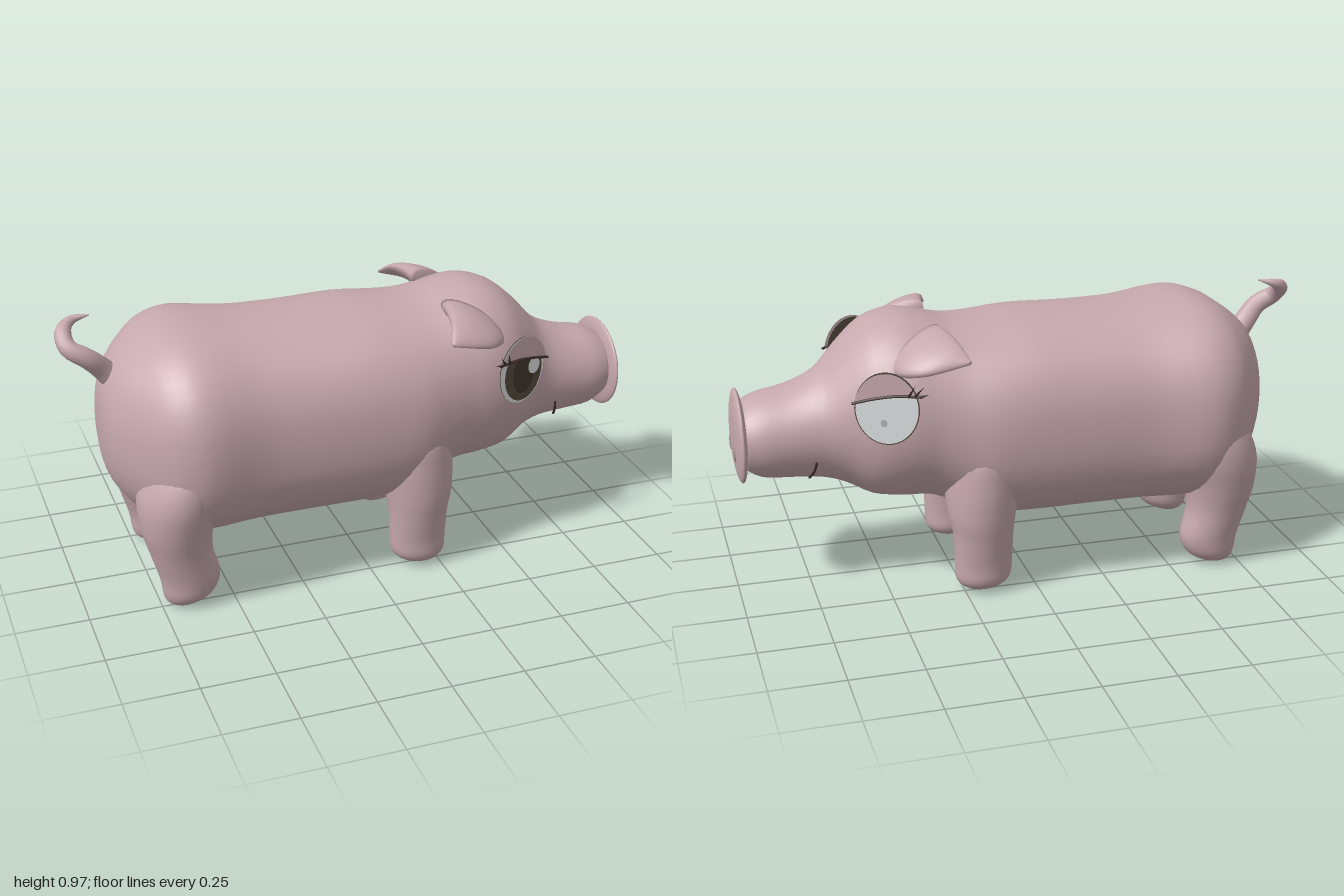
import * as THREE from 'three';

const mat = (name, color, side = THREE.FrontSide) => {
  const m = new THREE.MeshStandardMaterial({ color, side });
  m.name = name;
  return m;
};
const V = (x, y, z) => new THREE.Vector3(x, y, z);

// Closed ring c + u cos + v sin; n > 2 squares it off
function ring(c, u, v, n = 2, count = 28) {
  const bend = (k) => Math.sign(k) * Math.pow(Math.abs(k), 2 / n);
  return Array.from({ length: count }, (_, j) => {
    const a = (j / count) * Math.PI * 2;
    return c.clone().addScaledVector(u, bend(Math.cos(a))).addScaledVector(v, bend(Math.sin(a)));
  });
}

// Smooth skin over rings, closed with a pole at each end
function loft(rings) {
  const n = rings[0].length, last = (rings.length - 1) * n;
  const pts = rings.flat(), idx = [];
  const centre = (r) => r.reduce((s, p) => s.add(p), V(0, 0, 0)).divideScalar(n);
  const start = pts.length, end = start + 1;
  pts.push(centre(rings[0]), centre(rings[rings.length - 1]));
  for (let j = 0; j < n; j++) {
    const k = (j + 1) % n;
    for (let i = 0; i < last; i += n) {
      idx.push(i + j, i + k, i + n + j, i + k, i + n + k, i + n + j);
    }
    idx.push(start, k, j, end, last + j, last + k);
  }
  const g = new THREE.BufferGeometry().setFromPoints(pts);
  g.setIndex(idx);
  g.computeVertexNormals();
  return g;
}

// Smoothly resample rows of numbers
function resample(rows, steps) {
  const a = new THREE.CatmullRomCurve3(rows.map((r) => V(r[0], r[1], r[2])), false, 'catmullrom');
  const b = new THREE.CatmullRomCurve3(rows.map((r) => V(r[3], r[4], 0)), false, 'catmullrom');
  return Array.from({ length: steps + 1 }, (_, i) => {
    const p = a.getPoint(i / steps), q = b.getPoint(i / steps);
    return [p.x, p.y, p.z, q.x, q.y];
  });
}

export function createModel() {
  const skin = mat('pink skin', 0xc6a8ad);
  const nostrilPink = mat('nostril pink', 0xa88e92);
  const white = mat('eye white', 0xe2e6e6, THREE.DoubleSide);
  const brown = mat('iris brown', 0x584c41, THREE.DoubleSide);
  const pupilBrown = mat('pupil brown', 0x43372f, THREE.DoubleSide);
  const dark = mat('lash brown', 0x40302d, THREE.DoubleSide);
  const lidPink = mat('eyelid pink', 0xc9abb0, THREE.DoubleSide);
  const grey = mat('dot grey', 0xb4b8b8, THREE.DoubleSide);

  const pig = new THREE.Group();
  pig.name = 'pig';
  const add = (name, geometry, material, parent = pig) => {
    const m = new THREE.Mesh(geometry, material);
    m.name = name;
    parent.add(m);
    return m;
  };

  // Body, head and muzzle: x, top, bottom, half width, squareness
  const profile = [
    [-0.877, 0.66, 0.52, 0.07, 2], [-0.862, 0.75, 0.43, 0.14, 2.1], [-0.82, 0.83, 0.355, 0.225, 2.2],
    [-0.75, 0.89, 0.29, 0.325, 2.3], [-0.68, 0.93, 0.25, 0.385, 2.4], [-0.58, 0.95, 0.23, 0.41, 2.4],
    [-0.4, 0.93, 0.23, 0.375, 2.4], [-0.2, 0.925, 0.23, 0.37, 2.4], [0, 0.93, 0.23, 0.37, 2.4],
    [0.15, 0.92, 0.24, 0.365, 2.3], [0.25, 0.925, 0.28, 0.34, 2.2], [0.34, 0.95, 0.31, 0.32, 2.1],
    [0.43, 0.963, 0.315, 0.31, 2.1], [0.53, 0.935, 0.33, 0.28, 2.1], [0.62, 0.86, 0.375, 0.22, 2],
    [0.7, 0.775, 0.4, 0.18, 2], [0.8, 0.73, 0.41, 0.165, 2], [0.9, 0.71, 0.42, 0.155, 2],
    [0.965, 0.68, 0.46, 0.13, 2],
  ];
  add('body', loft(resample(profile, 54).map(([x, top, bottom, w, n]) =>
    ring(V(x, (top + bottom) / 2, 0), V(0, (top - bottom) / 2, 0), V(0, 0, w), n, 40))), skin);

  // Snout disc with nostrils
  const snout = add('snout', new THREE.SphereGeometry(1, 40, 20), skin);
  snout.scale.set(0.024, 0.16, 0.175);
  snout.position.set(0.967, 0.567, 0);

  // Legs, buried at the top and flared into the belly: y, centre x, centre z, radius x, radius z
  const legs = {
    frontLeg: [[0.66, 0.15, 0.16, 0.06, 0.08], [0.54, 0.165, 0.19, 0.12, 0.15],
      [0.42, 0.175, 0.2, 0.13, 0.155], [0.3, 0.182, 0.225, 0.118, 0.125], [0.22, 0.18, 0.237, 0.104, 0.1],
      [0.12, 0.18, 0.236, 0.1, 0.084], [0.06, 0.182, 0.235, 0.096, 0.08], [0.03, 0.186, 0.235, 0.072, 0.06],
      [0.016, 0.19, 0.235, 0.035, 0.03]],
    backLeg: [[0.68, -0.6, 0.18, 0.06, 0.1], [0.56, -0.63, 0.21, 0.12, 0.165],
      [0.44, -0.665, 0.222, 0.14, 0.172], [0.32, -0.682, 0.232, 0.124, 0.138], [0.22, -0.674, 0.238, 0.107, 0.105],
      [0.12, -0.648, 0.24, 0.104, 0.086], [0.06, -0.653, 0.238, 0.09, 0.078], [0.028, -0.668, 0.236, 0.065, 0.058],
      [0.01, -0.678, 0.235, 0.032, 0.03]],
  };

  // Flat ellipse facing local +z
  const disc = (rx, ry, x, y, z) =>
    new THREE.CircleGeometry(1, 40).scale(rx, ry, 1).translate(x, y, z);

  for (const s of [1, -1]) {
    const side = s > 0 ? 'near' : 'far';

    for (const [name, rows] of Object.entries(legs)) {
      add(`${name} ${side}`, loft(resample(rows, 32).map(([y, x, z, rx, rz]) =>
        ring(V(x, y, z * s), V(rx, 0, 0), V(0, 0, rz)))), skin);
    }

    // Ear: flattened flap facing up and forward, its tip swept out and back
    const stations = [[0.39, 0.875, 0.17, 0.12, 0.045], [0.37, 0.88, 0.25, 0.11, 0.036],
      [0.325, 0.88, 0.32, 0.075, 0.022], [0.25, 0.875, 0.357, 0.008, 0.006]];
    const out = V(-0.4, 0, 0.9 * s).normalize();
    const wide = V(0.8, -0.42, 0).projectOnPlane(out).normalize();
    const thick = out.clone().cross(wide);
    add(`ear ${side}`, loft(resample(stations, 12).map(([x, y, z, a, b]) =>
      ring(V(x, y, z * s), wide.clone().multiplyScalar(a), thick.clone().multiplyScalar(b), 2, 20))), skin);

    const nostril = add(`nostril ${side}`, new THREE.SphereGeometry(1, 20, 12), nostrilPink);
    nostril.scale.set(0.004, 0.028, 0.019);
    nostril.position.set(0.988, 0.525, 0.06 * s);

    // Mouth corner
    const mouth = new THREE.CatmullRomCurve3([V(0.73, 0.505, 0.164 * s), V(0.737, 0.47, 0.149 * s), V(0.75, 0.435, 0.115 * s)]);
    add(`mouth ${side}`, new THREE.TubeGeometry(mouth, 10, 0.0045, 6), dark);

    // Eye: thin plates stacked outward, turned a little to the nose
    const eye = new THREE.Group();
    eye.name = `eye ${side}`;
    eye.position.set(0.518, 0.73, 0.318 * s);
    eye.rotation.y = s > 0 ? 0.36 : Math.PI - 0.36;
    pig.add(eye);
    const rim = s > 0 ? 1 : 1.04;
    add('eye backing', disc(0.103 * rim, 0.12 * rim, 0, 0, -0.003), brown, eye);
    add('eye white', disc(0.103, 0.12, 0, 0, 0), white, eye);
    if (s > 0) {
      add('iris', disc(0.087, 0.102, 0.004, -0.01, 0.003), brown, eye);
      add('pupil', disc(0.05, 0.07, 0.003, -0.015, 0.005), pupilBrown, eye);
      add('highlight', disc(0.027, 0.03, 0.05, 0.006, 0.007), white, eye);
    } else {
      add('pupil dot', disc(0.011, 0.013, -0.01, -0.048, 0.003), grey, eye);
    }

    // Eyelid over the upper part, edged by the lash line
    const lid = [];
    for (let i = 0; i <= 20; i++) {
      const a = THREE.MathUtils.lerp(0.17, Math.PI - 0.47, i / 20);
      lid.push(new THREE.Vector2(0.106 * Math.cos(a) * s, 0.123 * Math.sin(a)));
    }
    lid.push(new THREE.Vector2(-0.02 * s, 0.052));
    add('eyelid', new THREE.ShapeGeometry(new THREE.Shape(lid)).translate(0, 0, 0.009), lidPink, eye);
    const line = new THREE.CatmullRomCurve3([V(-0.115 * s, 0.05, 0.012), V(-0.03 * s, 0.05, 0.014), V(0.04 * s, 0.039, 0.014), V(0.112 * s, 0.02, 0.01)]);
    add('lash line', new THREE.TubeGeometry(line, 20, 0.005, 6), dark, eye);

    // Three lashes at the outer corner
    [[-0.14, 0.06, 0.016], [-0.128, 0.09, 0.026], [-0.1, 0.096, 0.034]].forEach(([x, y, z], i) => {
      const base = V((-0.11 + i * 0.018) * s, 0.048, 0.012), tip = V(x * s, y, z);
      const dir = tip.clone().sub(base);
      const lash = add('eyelash', new THREE.ConeGeometry(0.0055, dir.length(), 6), dark, eye);
      lash.position.copy(base).addScaledVector(dir, 0.5);
      lash.quaternion.setFromUnitVectors(V(0, 1, 0), dir.normalize());
    });
  }

  // Curly tail, thinning to its tip
  const path = new THREE.CatmullRomCurve3([V(-0.8, 0.74, 0), V(-0.855, 0.81, 0.01), V(-0.91, 0.865, 0.03),
    V(-0.962, 0.9, 0.015), V(-0.968, 0.94, -0.03), V(-0.935, 0.965, -0.06), V(-0.875, 0.98, -0.05)]);
  const frames = path.computeFrenetFrames(28);
  add('tail', loft(frames.tangents.map((_, i) => {
    const t = i / 28, r = t < 0.7 ? 0.042 - 0.02 * t : 0.028 * (1 - t) / 0.3 + 0.002;
    return ring(path.getPointAt(t), frames.normals[i].clone().multiplyScalar(r),
      frames.binormals[i].clone().multiplyScalar(r), 2, 12);
  })), skin);

  return pig;
}
